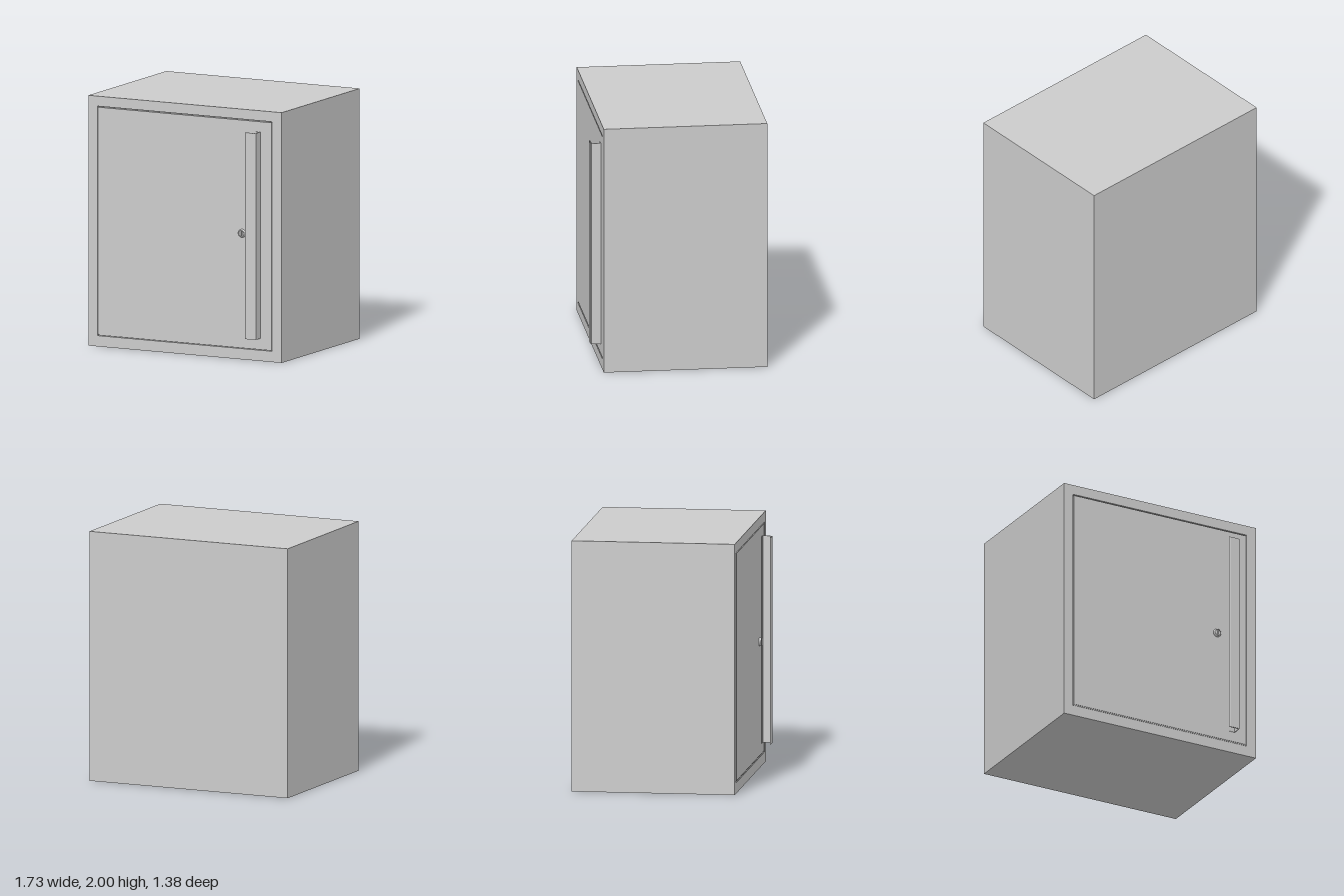
import * as THREE from 'three';

const W = 0.865, H = 2, BACK = -0.69, FRONT = 0.608;
const grey = new THREE.MeshStandardMaterial({ color: 0xcccccc, side: THREE.DoubleSide });

function add(parent, name, geometry, x = 0, y = 0, z = 0) {
  const mesh = new THREE.Mesh(geometry, grey);
  mesh.name = name;
  mesh.position.set(x, y, z);
  parent.add(mesh);
  return mesh;
}

// Rectangle outline, usable as a shape or as a hole
function rect(path, x0, y0, x1, y1) {
  path.moveTo(x0, y0);
  path.lineTo(x1, y0);
  path.lineTo(x1, y1);
  path.lineTo(x0, y1);
  path.closePath();
  return path;
}

const extrude = (shape, depth) =>
  new THREE.ExtrudeGeometry(shape, { depth, bevelEnabled: false, curveSegments: 24 });

// Bent sheet outline: a centre line [x, z] offset to both sides with mitred corners
function sheetShape(points, thickness) {
  const pts = points.map(([x, z]) => new THREE.Vector2(x, -z));
  const normal = (a, b) => new THREE.Vector2(a.y - b.y, b.x - a.x).normalize();
  const side = (s) => pts.map((p, i) => {
    const n0 = normal(pts[Math.max(i - 1, 0)], pts[Math.max(i, 1)]);
    const last = pts.length - 1;
    const n1 = normal(pts[Math.min(i, last - 1)], pts[Math.min(i + 1, last)]);
    const m = n0.clone().add(n1).normalize();
    return p.clone().addScaledVector(m, s * thickness / 2 / m.dot(n0));
  });
  return new THREE.Shape([...side(1), ...side(-1).reverse()]);
}

export function createModel() {
  const model = new THREE.Group();
  model.name = 'cabinet';

  // Case: walls with the door opening, closed by a back panel
  const walls = rect(new THREE.Shape(), -W, 0, W, H);
  walls.holes.push(rect(new THREE.Path(), -0.784, 0.086, 0.78, 1.92));
  add(model, 'case', extrude(walls, FRONT - BACK - 0.02), 0, 0, BACK + 0.02);
  add(model, 'backPanel', new THREE.BoxGeometry(2 * W, H, 0.02), 0, H / 2, BACK + 0.01);

  // Door, flush with the case front, with a narrow gap all round
  const door = new THREE.Group();
  door.name = 'door';
  model.add(door);
  add(door, 'doorPanel', new THREE.BoxGeometry(1.55, 1.814, 0.04), -0.002, 1.005, FRONT - 0.02);
  add(door, 'doorSill', new THREE.BoxGeometry(1.55, 0.01, 0.036), -0.002, 0.095, FRONT - 0.022);

  // Full-length pull handle, folded from sheet with a hemmed grip edge
  const fold = [[0.625, 0.61], [0.672, 0.61], [0.672, 0.681], [0.59, 0.681],
    [0.583, 0.684], [0.59, 0.6875], [0.66, 0.6875]];
  const handle = extrude(sheetShape(fold, 0.004), 1.65);
  handle.rotateX(-Math.PI / 2);
  add(door, 'handle', handle, 0, 0.18, 0);

  // Round lock with a tapered collar and a vertical key slot
  const lock = new THREE.Group();
  lock.name = 'lock';
  lock.position.set(0.513, 1.008, FRONT);
  door.add(lock);
  const profile = [[0.033, -0.01], [0.033, 0.008], [0.027, 0.017], [0.023, 0.017], [0.023, 0.008]];
  const collar = new THREE.LatheGeometry(profile.map(([r, y]) => new THREE.Vector2(r, y)), 32);
  collar.rotateX(Math.PI / 2);
  add(lock, 'lockCollar', collar);
  const face = new THREE.Shape().absarc(0, 0, 0.023, 0, Math.PI * 2);
  face.holes.push(rect(new THREE.Path(), -0.004, -0.016, 0.004, 0.016));
  add(lock, 'lockFace', extrude(face, 0.014));

  return model;
}
